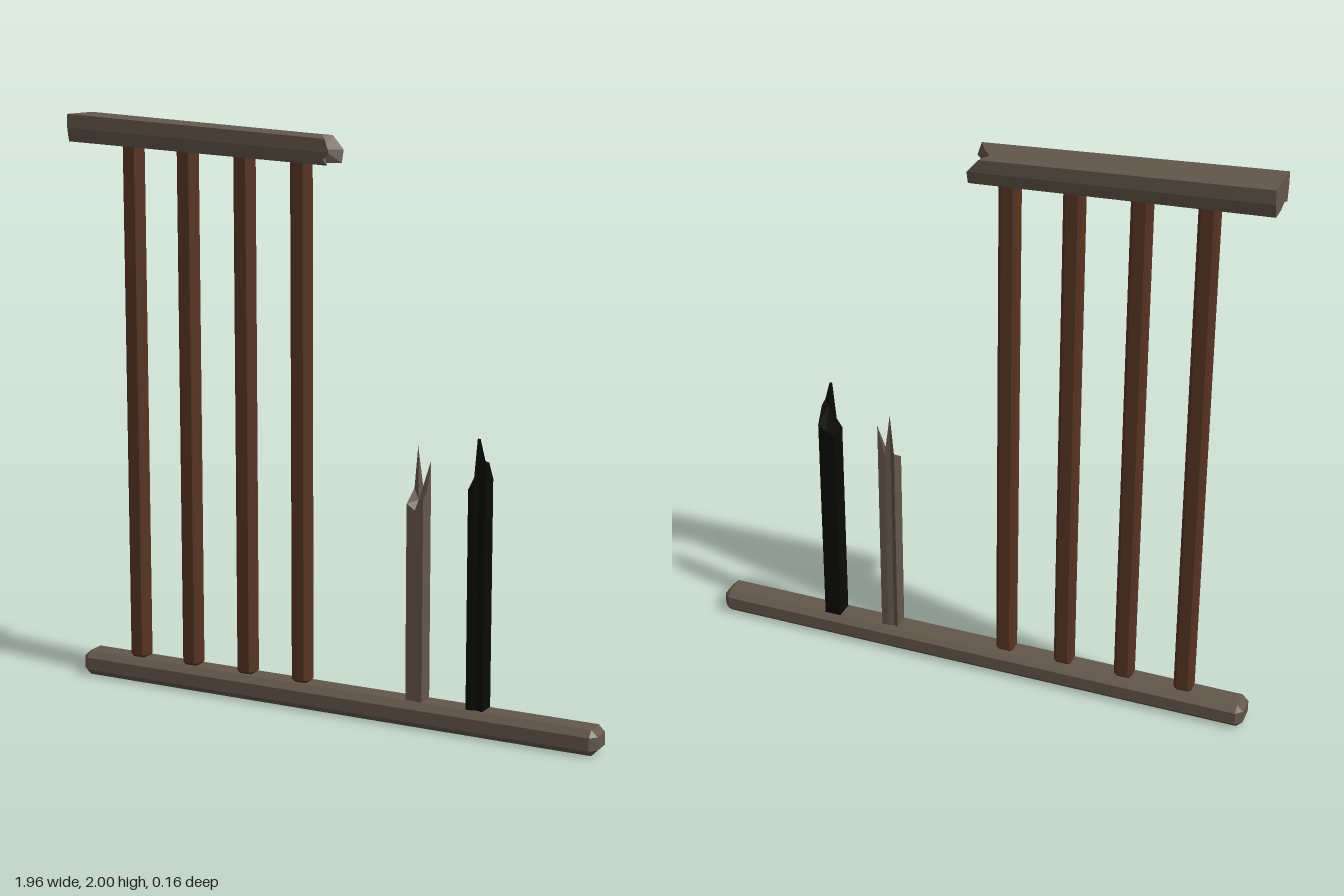
import * as THREE from 'three';
import { ConvexGeometry } from 'three/addons/geometries/ConvexGeometry.js';

const material = (name, color) => {
  const m = new THREE.MeshStandardMaterial({ color });
  m.name = name;
  return m;
};

// Box with every edge cut by a flat chamfer c
function chamferedBox(w, h, d, c) {
  const points = [];
  for (const x of [-w / 2, w / 2]) for (const y of [-h / 2, h / 2]) for (const z of [-d / 2, d / 2]) {
    const sx = Math.sign(x) * c, sy = Math.sign(y) * c, sz = Math.sign(z) * c;
    points.push(
      new THREE.Vector3(x, y - sy, z - sz),
      new THREE.Vector3(x - sx, y, z - sz),
      new THREE.Vector3(x - sx, y - sy, z));
  }
  return new ConvexGeometry(points);
}

// Upright bar with a splintered top: ring of [x, z, topY], counter-clockwise from above
function brokenBar(ring, baseY, centre) {
  const pos = [];
  const cx = centre[0], cz = centre[1], cy = centre[2];
  ring.forEach(([x, z, y], i) => {
    const [x2, z2, y2] = ring[(i + 1) % ring.length];
    pos.push(x, baseY, z, x2, baseY, z2, x2, y2, z2);
    pos.push(x, baseY, z, x2, y2, z2, x, y, z);
    pos.push(x, y, z, x2, y2, z2, cx, cy, cz);
    pos.push(x2, baseY, z2, x, baseY, z, 0, baseY, 0);
  });
  const g = new THREE.BufferGeometry();
  g.setAttribute('position', new THREE.Float32BufferAttribute(pos, 3));
  g.computeVertexNormals();
  return g;
}

export function createModel() {
  const group = new THREE.Group();
  const weathered = material('weatheredWood', 0x63574b);
  const brown = material('brownWood', 0x573422);
  const charred = material('charredWood', 0x0b0a09);

  const add = (name, geometry, mat, x = 0, y = 0, z = 0) => {
    const mesh = new THREE.Mesh(geometry, mat);
    mesh.name = name;
    mesh.position.set(x, y, z);
    group.add(mesh);
  };

  // Bottom rail
  add('bottomRail', chamferedBox(1.96, 0.088, 0.11, 0.022), weathered, 0, 0.044, 0);

  // Intact balusters, reaching into the sloping top rail
  [-0.76, -0.545, -0.325, -0.11].forEach((x, i) => {
    const top = 1.93 - 0.055 * (x + 0.98), bottom = 0.085;
    add('baluster' + (i + 1), chamferedBox(0.064, top - bottom, 0.062, 0.012), brown,
      x, (top + bottom) / 2, 0);
  });

  // Snapped top rail: made upright, laid along x, then sheared and tapered
  const rail = brokenBar([
    [-0.047, 0.075, 0.015], [0, 0.075, 0.03], [0.028, 0.07, 0.005], [0.047, 0.065, 0.02],
    [0.035, 0.03, -0.01], [0.047, -0.01, -0.04], [0.047, -0.065, 0.01],
    [0, -0.08, 0.01], [-0.047, -0.08, -0.03], [-0.047, -0.03, -0.05], [-0.047, 0.02, -0.015],
  ], -0.98, [0, 0, -0.03]);
  rail.rotateZ(-Math.PI / 2);
  const p = rail.attributes.position;
  for (let i = 0; i < p.count; i++) {
    const t = p.getX(i) + 0.98;
    p.setY(i, 1.953 + p.getY(i) * (1 - 0.08 * t) - 0.052 * t);
    p.setZ(i, p.getZ(i) * (p.getZ(i) < 0 ? 1 - 0.12 * t : 1));
  }
  rail.computeVertexNormals();
  add('topRail', rail, weathered);

  // Broken baluster stumps
  add('weatheredStump', brokenBar([
    [-0.03, 0.03, 0.76], [0, 0.03, 0.74], [0.03, 0.03, 0.78], [0.03, 0, 0.8],
    [0.03, -0.03, 0.9], [0.005, -0.03, 0.79], [-0.015, -0.025, 0.945],
    [-0.03, -0.03, 0.8], [-0.03, 0, 0.78],
  ], 0.085, [0, 0, 0.77]), weathered, 0.325, 0, 0);

  add('charredStump', brokenBar([
    [-0.03, 0.03, 0.83], [-0.01, 0.03, 0.86], [0, 0.025, 1], [0.01, 0.025, 1],
    [0.03, 0.03, 0.93], [0.03, 0, 0.92], [0.03, -0.035, 0.86],
    [0, -0.035, 0.84], [-0.03, -0.035, 0.83], [-0.03, 0, 0.83],
  ], 0.085, [0.005, 0, 0.92]), charred, 0.545, 0, 0);

  return group;
}
